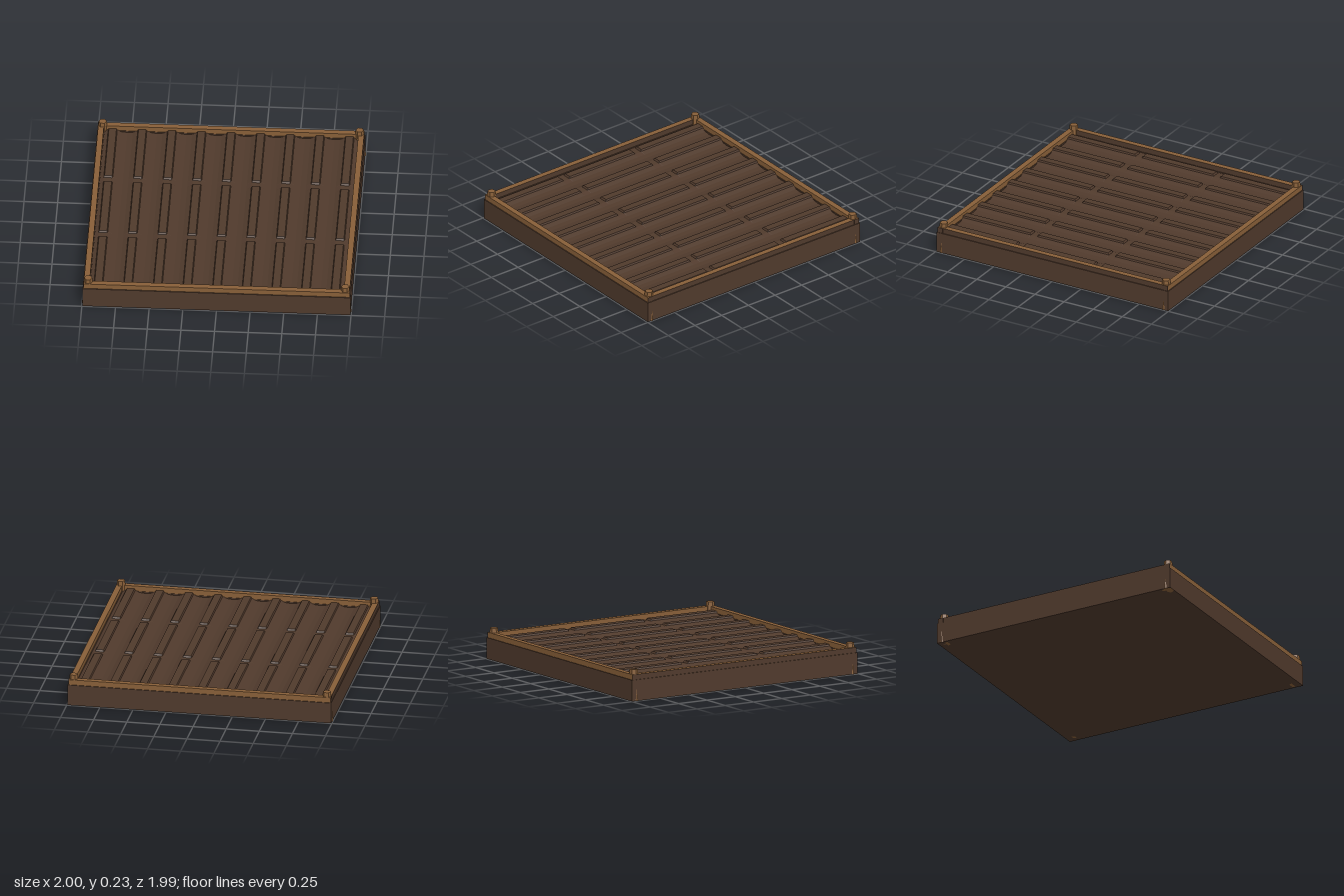
import * as THREE from 'three';

export function createModel() {
  const model = new THREE.Group();
  const material = (name, color, extra = {}) => {
    const m = new THREE.MeshStandardMaterial({ color, ...extra });
    m.name = name;
    return m;
  };
  const dark = material('darkEarthBrown', 0x503a2c);
  const wood = material('lightWood', 0x885f38);

  const add = (name, geometry, mat, x = 0, y = 0, z = 0) => {
    const mesh = new THREE.Mesh(geometry, mat);
    mesh.name = name;
    mesh.position.set(x, y, z);
    model.add(mesh);
    return mesh;
  };
  const box = (w, h, d) => new THREE.BoxGeometry(w, h, d);

  // Closed underside
  add('basePlate', box(1.88, 0.04, 1.88), dark, 0, 0.02, 0);

  // Walls, set-back top rails and tapered corner posts
  for (const s of [-1, 1]) {
    add('endWall', box(1.99, 0.16, 0.055), dark, 0, 0.08, s * 0.9675);
    add('sideWall', box(0.055, 0.16, 1.88), dark, s * 0.9675, 0.08, 0);
    add('endRail', box(1.976, 0.04, 0.043), wood, 0, 0.18, s * 0.9665);

    // Side rails show light wood only on top and on the right-hand inner face
    const inner = s > 0 ? wood : dark;
    add('sideRail', box(0.043, 0.04, 1.89),
      [s > 0 ? dark : inner, s > 0 ? inner : dark, wood, dark, wood, wood],
      s * 0.9665, 0.18, 0);
    // Dark outer ends of the end rails
    for (const t of [-1, 1]) {
      add('railEnd', box(0.004, 0.04, 0.043), dark, s * 0.988, 0.18, t * 0.9665);
      const post = new THREE.CylinderGeometry(0.03, 0.046, 0.235, 6).toNonIndexed();
      post.rotateY(Math.PI / 6 * 3);
      post.computeVertexNormals();
      add('cornerPost', post, wood, s * 0.955, 0.1175, t * 0.955);
    }
  }

  // Ploughed soil: nine rounded ridges, each notched by two cross furrows
  const spacing = 0.22;
  const section = [[-0.11, 0.148], [-0.07, 0.152], [-0.034, 0.166], [-0.028, 0.178],
    [0.028, 0.178], [0.034, 0.166], [0.07, 0.152]];
  const profile = [[-0.99 + 0.03, 0.148]];
  for (let i = -4; i <= 4; i++) {
    for (const [x, y] of section) {
      if (i > -4 || x > -0.075) profile.push([i * spacing + x, y]);
    }
  }
  profile.push([0.96, 0.15]);

  // Lengthwise stations: position and whether the ridge crest is lowered
  const stations = [[-0.96, 0], [-0.37, 0], [-0.362, 1], [-0.308, 1], [-0.3, 0],
    [0.3, 0], [0.308, 1], [0.362, 1], [0.37, 0], [0.96, 0]];
  const positions = [], indices = [];
  for (const [z, notch] of stations) {
    for (const [x, y] of profile) {
      positions.push(x, notch ? Math.min(y, 0.164) : y, z);
    }
  }
  const n = profile.length;
  for (let j = 0; j < stations.length - 1; j++) {
    for (let i = 0; i < n - 1; i++) {
      const a = j * n + i, b = a + 1, c = a + n, d = c + 1;
      indices.push(a, c, b, b, c, d);
    }
  }
  let soil = new THREE.BufferGeometry();
  soil.setAttribute('position', new THREE.Float32BufferAttribute(positions, 3));
  soil.setIndex(indices);
  soil = soil.toNonIndexed();
  soil.computeVertexNormals();
  add('ploughedSoil', soil, dark);

  return model;
}
